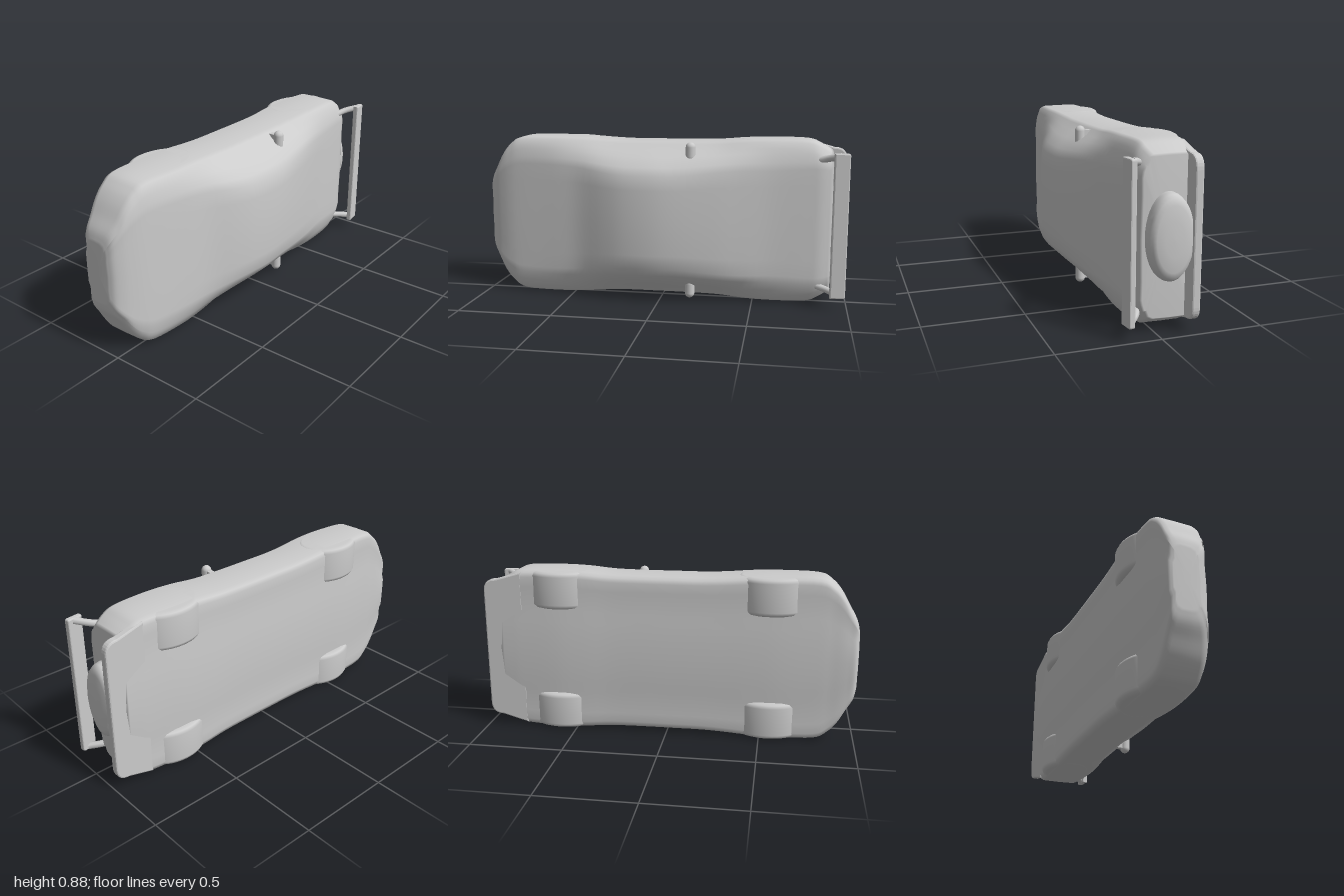
import * as THREE from 'three';

const MID = 0.44; // centre of the car's width, which runs along y
const mat = new THREE.MeshStandardMaterial({ color: 0xcccccc, side: THREE.DoubleSide });

// x, half width, underside z, shoulder z, roof z, roof half width
const stations = [
  [-1.0, 0.16, -0.15, -0.04, -0.03, 0.10],
  [-0.985, 0.215, -0.17, -0.005, 0.005, 0.15],
  [-0.95, 0.275, -0.175, 0.02, 0.032, 0.20],
  [-0.91, 0.345, -0.178, 0.035, 0.05, 0.24],
  [-0.86, 0.40, -0.18, 0.045, 0.066, 0.27],
  [-0.79, 0.435, -0.185, 0.055, 0.08, 0.29],
  [-0.6, 0.438, -0.195, 0.07, 0.11, 0.29],
  [-0.45, 0.435, -0.197, 0.066, 0.137, 0.28],
  [-0.3, 0.425, -0.197, 0.056, 0.188, 0.26],
  [-0.18, 0.42, -0.197, 0.055, 0.217, 0.25],
  [-0.04, 0.42, -0.197, 0.055, 0.227, 0.25],
  [0.1, 0.42, -0.197, 0.055, 0.216, 0.25],
  [0.3, 0.423, -0.197, 0.056, 0.182, 0.27],
  [0.45, 0.434, -0.2, 0.066, 0.15, 0.28],
  [0.6, 0.438, -0.2, 0.07, 0.12, 0.28],
  [0.78, 0.435, -0.19, 0.06, 0.098, 0.29],
  [0.85, 0.41, -0.185, 0.055, 0.088, 0.29],
  [0.91, 0.375, -0.18, 0.035, 0.065, 0.28],
];

// Half of a cross-section, from the underside centre to the roof centre
function halfSection([, w, zb, zs, zt, r]) {
  const h = zs - zb, rise = zt - zs;
  return [
    [0, zb - 0.01], [w * 0.38, zb - 0.009], [w * 0.52, zb + 0.001], [w * 0.8, zb], [w - 0.035, zb],
    [w - 0.012, zb + 0.008], [w, zb + 0.03], [w, zb + h * 0.5],
    [w - 0.003, zs - 0.03], [w - 0.015, zs - 0.008], [w - 0.045, zs + rise * 0.13],
    [r + (w - r) * 0.55, zs + rise * 0.45], [r + (w - r) * 0.25, zs + rise * 0.76],
    [r, zs + rise * 0.92], [r * 0.7, zt - 0.004], [0, zt],
  ];
}

// Smooth shell lofted through the stations
function bodyGeometry() {
  const curves = stations[0].map((_, k) =>
    new THREE.CatmullRomCurve3(stations.map((s, i) => new THREE.Vector3(i, s[k], 0)), false, 'centripetal'));
  const steps = 68, pos = [], index = [];
  let n = 0;
  for (let i = 0; i <= steps; i++) {
    const s = curves.map((c) => c.getPoint(i / steps).y);
    const half = halfSection(s);
    const ring = [...half, ...half.slice(1, -1).reverse().map(([y, z]) => [-y, z])];
    n = ring.length;
    ring.forEach(([y, z]) => pos.push(s[0], MID + y, z));
  }
  for (let i = 0; i < steps; i++) {
    for (let j = 0; j < n; j++) {
      const a = i * n + j, b = i * n + (j + 1) % n;
      index.push(a, b, a + n, b, b + n, a + n);
    }
  }
  // End caps
  [0, steps].forEach((i) => {
    const c = pos.length / 3, base = i * n;
    const s = stations[i ? stations.length - 1 : 0];
    pos.push(s[0], MID, (s[2] + s[4]) / 2);
    for (let j = 0; j < n; j++) {
      const a = base + j, b = base + (j + 1) % n;
      i ? index.push(c, a, b) : index.push(c, b, a);
    }
  });
  const g = new THREE.BufferGeometry();
  g.setAttribute('position', new THREE.Float32BufferAttribute(pos, 3));
  g.setIndex(index);
  g.computeVertexNormals();
  return g;
}

// Slab in the x-y plane that narrows from half width h0 at x0 to h1 at x1
function slab(x0, x1, h0, h1, r, z, depth, bevel) {
  const s = new THREE.Shape();
  s.moveTo(x0, -h0);
  s.lineTo(x1 - r, -h1);
  s.quadraticCurveTo(x1, -h1, x1, r - h1);
  s.lineTo(x1, h1 - r);
  s.quadraticCurveTo(x1, h1, x1 - r, h1);
  s.lineTo(x0, h0);
  const g = new THREE.ExtrudeGeometry(s, {
    depth, bevelThickness: bevel, bevelSize: bevel, bevelOffset: -bevel, bevelSegments: 2, curveSegments: 8,
  });
  return g.translate(0, 0, z);
}

const profile = (points) => points.map(([r, y]) => new THREE.Vector2(r, y));

export function createModel() {
  const car = new THREE.Group();
  car.name = 'car';
  const add = (name, geometry, x = 0, y = 0, z = 0) => {
    const m = new THREE.Mesh(geometry, mat);
    m.name = name;
    m.position.set(x, y, z);
    car.add(m);
    return m;
  };

  add('body', bodyGeometry());

  // Oval tail panel with a nearly flat face, and the plate below it
  const panel = new THREE.LatheGeometry(profile([
    [1, 0], [1, 0.07], [0.97, 0.095], [0.9, 0.113], [0.75, 0.123], [0.4, 0.129], [0, 0.13],
  ]), 40).rotateZ(-Math.PI / 2);
  add('tailPanel', panel, 0.86, 0.45, -0.058).scale.set(1, 0.205, 0.112);
  add('underPlate', slab(0.78, 0.992, 0.425, 0.385, 0.07, -0.182, 0.026, 0.008), 0, MID, 0);

  // Wing blade, slightly tilted
  const blade = add('wing', slab(-0.04, 0.04, 0.38, 0.38, 0.012, -0.009, 0.018, 0.006), 0.948, MID, 0.143);
  blade.rotation.y = 0.12;

  // Wheels with rounded tyre edges, set into the body
  const wheel = new THREE.LatheGeometry(profile([
    [0, -0.1], [0.115, -0.1], [0.132, -0.092], [0.14, -0.075],
    [0.14, 0.075], [0.132, 0.092], [0.115, 0.1], [0, 0.1],
  ]), 40).scale(1.35, 1, 1);

  [-1, 1].forEach((side) => {
    const tag = side > 0 ? 'Upper' : 'Lower';
    add('frontWheel' + tag, wheel, -0.545, MID + side * 0.335, -0.09);
    add('rearWheel' + tag, wheel, 0.585, MID + side * 0.335, -0.09);

    // Wing support, rising from the rear deck
    const strut = new THREE.CatmullRomCurve3([
      new THREE.Vector3(0.83, MID + side * 0.335, 0.06),
      new THREE.Vector3(0.89, MID + side * 0.35, 0.085),
      new THREE.Vector3(0.95, MID + side * 0.365, 0.135),
    ]);
    add('wingStrut' + tag, new THREE.TubeGeometry(strut, 10, 0.018, 8));

    // Door mirror on its stalk
    add('mirror' + tag, new THREE.CapsuleGeometry(0.026, 0.05, 6, 14), 0.165, MID + side * 0.372, 0.105);
    add('mirrorStalk' + tag, new THREE.BoxGeometry(0.03, 0.03, 0.06), 0.165, MID + side * 0.385, 0.07);
  });

  return car;
}
